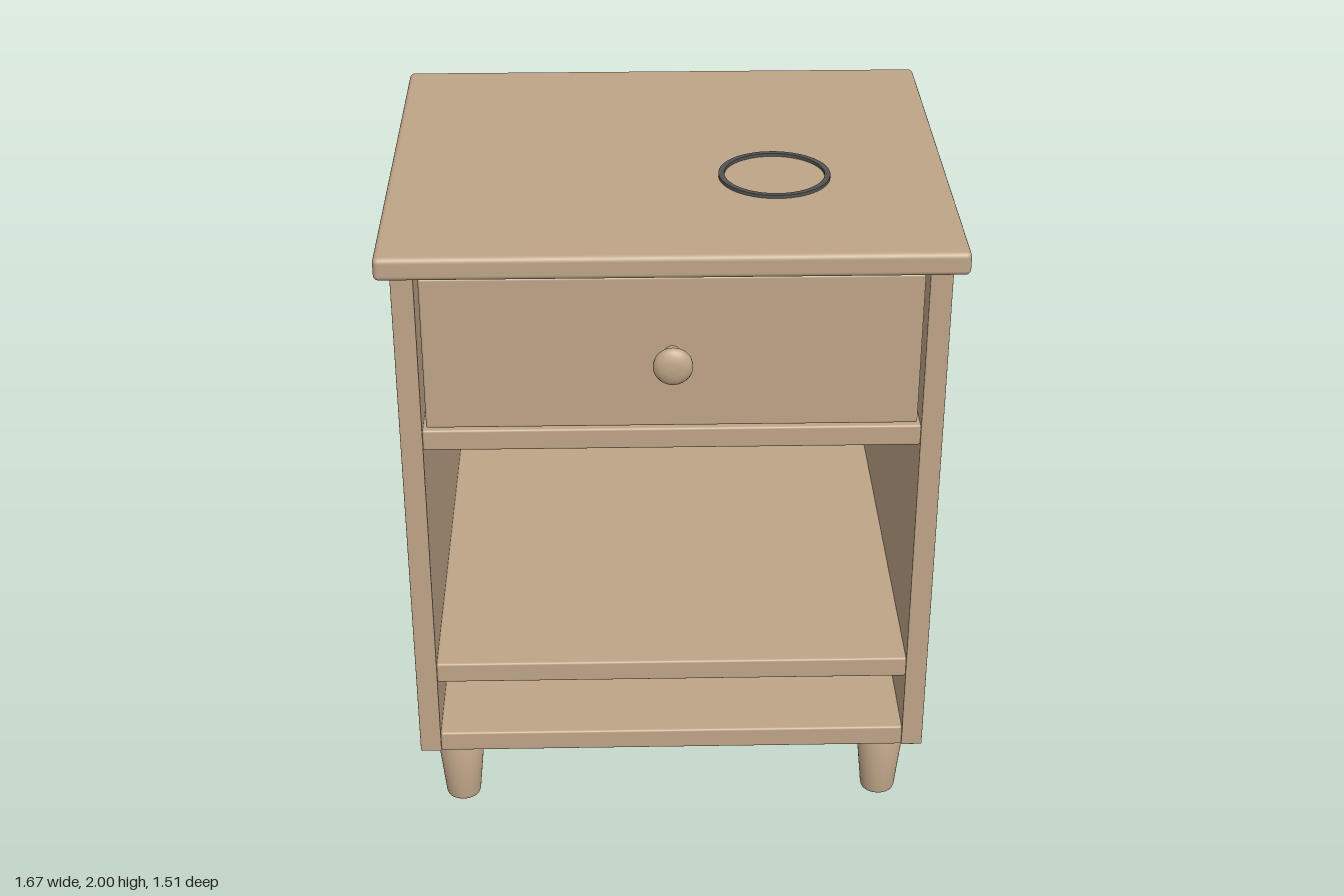
import * as THREE from 'three';
import { RoundedBoxGeometry } from 'three/addons/geometries/RoundedBoxGeometry.js';

export function createModel() {
  const model = new THREE.Group();
  model.name = 'nightstand';

  const wood = new THREE.MeshStandardMaterial({ color: 0xbfa588 });
  wood.name = 'light wood';
  const dark = new THREE.MeshStandardMaterial({ color: 0x555453 });
  dark.name = 'dark grey';

  function add(name, geometry, material = wood, parent = model) {
    const mesh = new THREE.Mesh(geometry, material);
    mesh.name = name;
    parent.add(mesh);
    return mesh;
  }

  // Board given by its limits, with slightly eased edges
  function board(name, [x0, x1], [y0, y1], [z0, z1], radius = 0.004, parent = model) {
    const geometry = new RoundedBoxGeometry(x1 - x0, y1 - y0, z1 - z0, 3, radius);
    geometry.translate((x0 + x1) / 2, (y0 + y1) / 2, (z0 + z1) / 2);
    return add(name, geometry, wood, parent);
  }

  const lathe = (points, segments = 40) =>
    new THREE.LatheGeometry(points.map(([r, y]) => new THREE.Vector2(r, y)), segments);

  // Carcass
  board('top', [-0.835, 0.835], [1.92, 1.99], [-0.755, 0.697], 0.016);
  board('rightSide', [-0.795, -0.73], [0.245, 1.92], [-0.74, 0.64]);
  board('leftSide', [0.73, 0.795], [0.245, 1.92], [-0.74, 0.64]);
  board('backPanel', [-0.79, 0.79], [0.245, 1.915], [-0.75, -0.738], 0.002);
  for (const [name, y0, y1] of [
    ['bottomBoard', 0.245, 0.313],
    ['lowerShelf', 0.51, 0.578],
    ['drawerShelf', 1.343, 1.41],
  ]) board(name, [-0.73, 0.73], [y0, y1], [-0.74, 0.638], 0.007);

  // Drawer: front panel with an open box behind it
  const drawer = new THREE.Group();
  drawer.name = 'drawer';
  model.add(drawer);
  board('drawerFront', [-0.717, 0.717], [1.42, 1.9], [0.58, 0.64], 0.007, drawer);
  board('drawerFloor', [-0.7, 0.7], [1.43, 1.45], [-0.68, 0.58], 0.002, drawer);
  board('drawerBack', [-0.7, 0.7], [1.45, 1.85], [-0.68, -0.65], 0.002, drawer);
  for (const s of [-1, 1]) {
    board('drawerWall', [s * 0.685 - 0.015, s * 0.685 + 0.015], [1.45, 1.85], [-0.65, 0.58], 0.002, drawer);
  }

  // Turned knob pointing forward
  const knob = add('knob', lathe([
    [0.023, 0], [0.023, 0.045], [0.027, 0.05], [0.052, 0.073], [0.057, 0.08],
    [0.057, 0.09], [0.052, 0.1], [0.038, 0.109], [0.02, 0.112], [0, 0.113],
  ]), wood, drawer);
  knob.rotation.x = Math.PI / 2;
  knob.position.set(0, 1.66, 0.638);

  // Tapered legs
  const legGeometry = lathe([
    [0, 0], [0.049, 0], [0.053, 0.003], [0.055, 0.01], [0.078, 0.246], [0, 0.246],
  ]);
  for (const x of [-0.675, 0.675]) {
    for (const z of [0.525, -0.63]) {
      add('leg', legGeometry).position.set(x, 0, z);
    }
  }

  // Thin ring on the table top
  const ring = add('topRing', lathe([
    [0.15, 0], [0.167, 0], [0.167, 0.011], [0.15, 0.011], [0.15, 0],
  ], 64), dark);
  ring.geometry = ring.geometry.toNonIndexed();
  ring.geometry.computeVertexNormals();
  ring.position.set(0.317, 1.989, 0.14);

  // Cable hole cover on the right side
  const cover = add('cableHole', new THREE.CylinderGeometry(0.04, 0.04, 0.004, 32), dark);
  cover.rotation.z = Math.PI / 2;
  cover.position.set(-0.795, 1.19, -0.13);

  return model;
}
